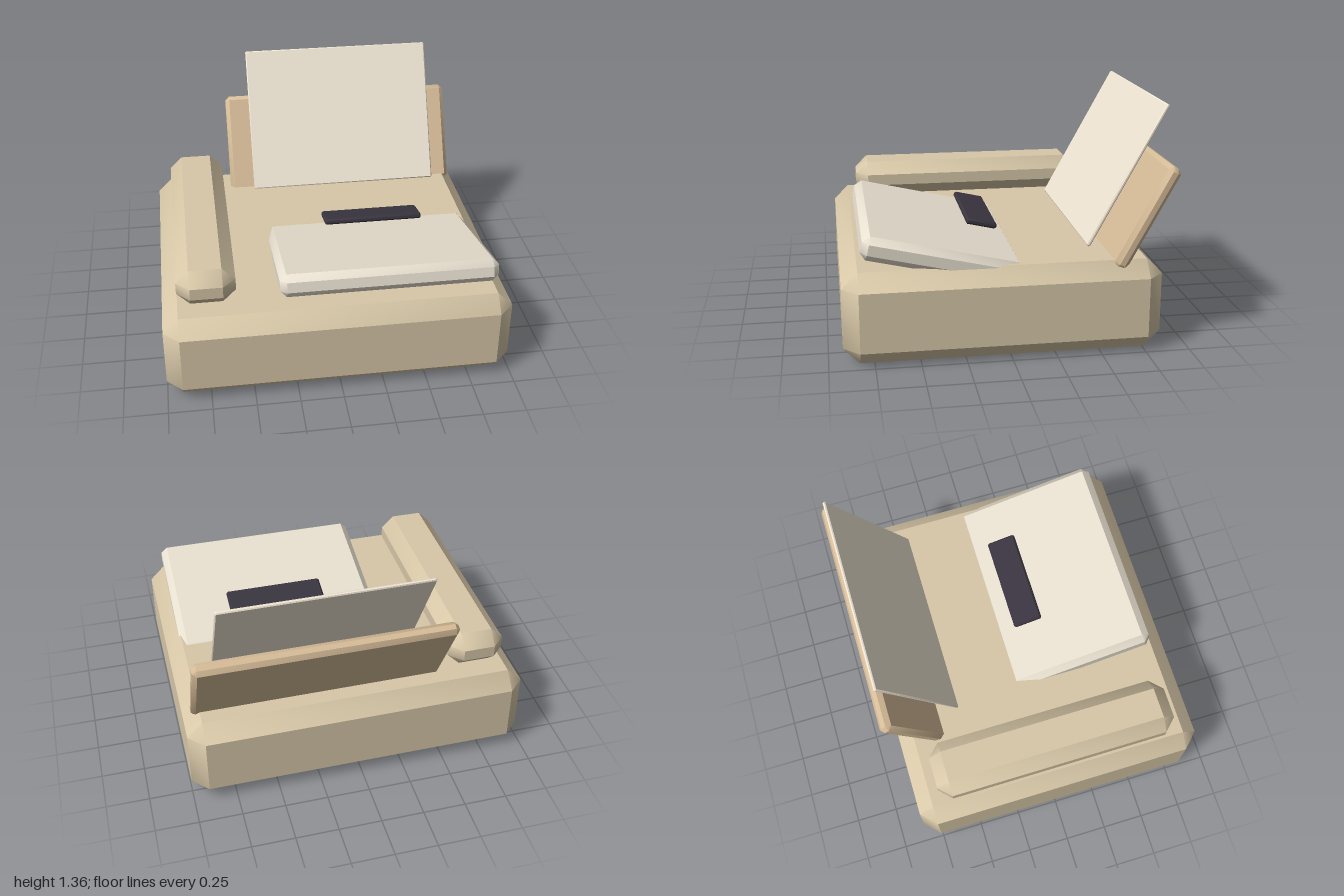
import * as THREE from 'three';
import { toCreasedNormals } from 'three/addons/utils/BufferGeometryUtils.js';
import { ConvexGeometry } from 'three/addons/geometries/ConvexGeometry.js';

// Box with every edge cut at 45 degrees and a triangle at each corner
function chamferBox(w, h, d, c) {
  const points = [];
  for (const sx of [-1, 1]) for (const sy of [-1, 1]) for (const sz of [-1, 1]) {
    const x = w / 2, y = h / 2, z = d / 2;
    points.push(
      new THREE.Vector3(sx * x, sy * (y - c), sz * (z - c)),
      new THREE.Vector3(sx * (x - c), sy * y, sz * (z - c)),
      new THREE.Vector3(sx * (x - c), sy * (y - c), sz * z)
    );
  }
  // Chamfers blend into the corners, flat faces stay crisp
  return toCreasedNormals(new ConvexGeometry(points), 0.7);
}

export function createModel() {
  const model = new THREE.Group();

  function add(name, size, chamfer, position, tilt, color) {
    const material = new THREE.MeshStandardMaterial({ color });
    const mesh = new THREE.Mesh(chamferBox(...size, chamfer), material);
    mesh.name = name;
    mesh.position.set(...position);
    mesh.rotation.x = tilt;
    model.add(mesh);
  }

  // Main housing
  add('body', [2, 0.52, 1.77], 0.09, [0, 0.26, 0.035], 0, 0xd8c8a8);

  // Long bar resting on the right side
  add('handset', [0.335, 0.22, 1.48], 0.075, [-0.743, 0.635, 0.035], 0, 0xd8c8a8);

  // Sloping panel with the dark display above it
  add('controlPanel', [1.255, 0.136, 0.902], 0.038, [0.2925, 0.551, 0.368], -0.228, 0xe8e0d0);
  add('display', [0.59, 0.034, 0.178], 0.01, [0.295, 0.662, 0.115], -0.228, 0x3a3540);

  // Leaning tray and the sheet in front of it
  add('paperTray', [1.475, 0.634, 0.08], 0.025, [0.2175, 0.755, -0.75], -0.5, 0xd6bc98);
  add('paperSheet', [1.185, 0.896, 0.02], 0.006, [0.2175, 0.965, -0.667], -0.5, 0xf0e6d4);

  return model;
}
